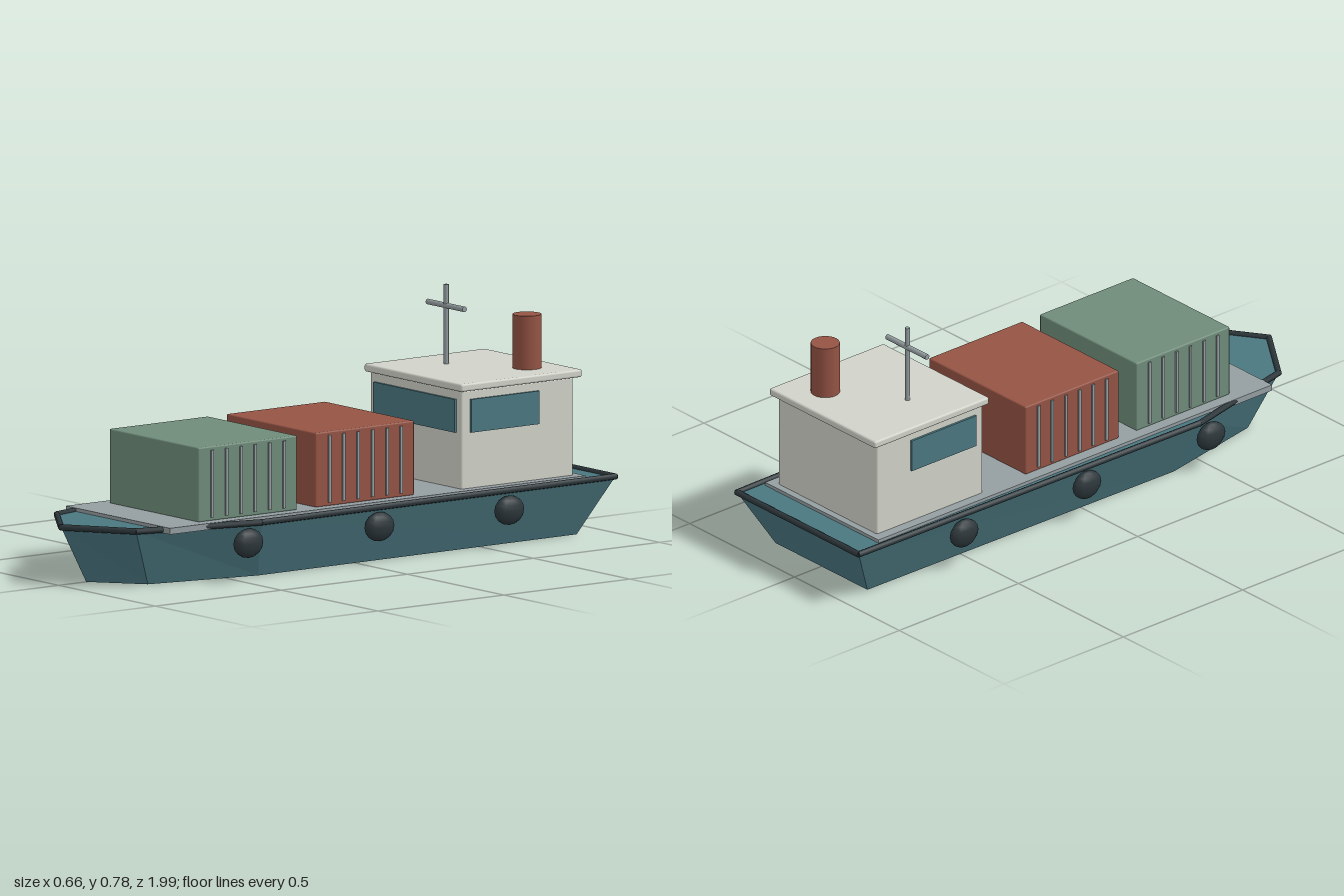
import * as THREE from 'three';
import { RoundedBoxGeometry } from 'three/addons/geometries/RoundedBoxGeometry.js';

const material = (name, color) => {
  const m = new THREE.MeshStandardMaterial({ color });
  m.name = name;
  return m;
};

export function createModel() {
  const model = new THREE.Group();
  model.name = 'cargoShip';
  const teal = material('teal', 0x4a7780);
  const dark = material('darkRubber', 0x2c363a);
  const grey = material('grey', 0x949ea1);
  const white = material('offWhite', 0xd0d2c8);
  const red = material('rustRed', 0x945344);
  const green = material('sageGreen', 0x6f8c7a);

  const add = (name, geometry, mat, x = 0, y = 0, z = 0, parent = model) => {
    const mesh = new THREE.Mesh(geometry, mat);
    mesh.name = name;
    mesh.position.set(x, y, z);
    parent.add(mesh);
    return mesh;
  };
  const box = (w, h, d) => new THREE.BoxGeometry(w, h, d);
  const rounded = (w, h, d, r = 0.007) => new RoundedBoxGeometry(w, h, d, 2, r);

  // Hull: gunwale outline [x, z] extruded upwards, with the keel end drawn in
  const half = [[0.29, -0.985], [0.307, 0.43], [0.205, 0.85]];
  const outline = [...half, [0, 0.99], ...half.map(([x, z]) => [-x, z]).reverse()];
  const hullTop = 0.183;
  const shape = new THREE.Shape(outline.map(([x, z]) => new THREE.Vector2(x, -z)));
  const hull = new THREE.ExtrudeGeometry(shape, { depth: hullTop, bevelEnabled: false });
  hull.rotateX(-Math.PI / 2);
  const p = hull.attributes.position;
  for (let i = 0; i < p.count; i++) {
    if (p.getY(i) < 0.01) p.setXYZ(i, p.getX(i) * 0.755, 0, p.getZ(i) * 0.9);
  }
  hull.computeVertexNormals();
  add('hull', hull, teal);

  // Rubbing rail: one bar along each gunwale edge
  const rail = new THREE.Group();
  rail.name = 'rail';
  model.add(rail);
  outline.forEach(([x, z], i) => {
    const a = new THREE.Vector3(x, 0.184, z);
    const [bx, bz] = outline[(i + 1) % outline.length];
    const b = new THREE.Vector3(bx, 0.184, bz);
    const dir = b.clone().sub(a);
    const bar = add('railBar', new THREE.CylinderGeometry(0.01, 0.01, dir.length() + 0.006, 8), dark, 0, 0, 0, rail);
    bar.position.copy(a).add(b).multiplyScalar(0.5);
    bar.quaternion.setFromUnitVectors(new THREE.Vector3(0, 1, 0), dir.normalize());
  });

  add('deck', box(0.54, 0.02, 1.65), grey, 0, 0.184, -0.06);

  // Fenders hung on both sides
  for (const side of [1, -1]) {
    for (const z of [0.48, -0.04, -0.555]) {
      const fender = add('fender', new THREE.SphereGeometry(1, 10, 8), dark, side * 0.303, 0.122, z);
      fender.scale.set(0.026, 0.047, 0.056);
    }
  }

  // Containers with thin upright ribs on their sides
  const container = (name, mat, z) => {
    const group = new THREE.Group();
    group.name = name;
    group.position.z = z;
    model.add(group);
    add('containerBody', rounded(0.462, 0.238, 0.392, 0.005), mat, 0, 0.312, 0, group);
    for (const side of [1, -1]) {
      for (let i = 0; i < 6; i++) {
        add('rib', box(0.012, 0.215, 0.01), grey, side * 0.23, 0.312, (i - 2.5) * 0.057, group);
      }
    }
  };
  container('frontContainer', green, 0.427);
  container('rearContainer', red, -0.038);

  // Deckhouse with roof and windows
  add('deckhouse', rounded(0.472, 0.32, 0.445), white, 0, 0.348, -0.639);
  add('roof', rounded(0.506, 0.025, 0.48), white, 0, 0.519, -0.644);
  add('frontWindow', box(0.42, 0.106, 0.009), teal, 0, 0.425, -0.413);
  for (const side of [1, -1]) {
    add('sideWindow', box(0.009, 0.106, 0.27), teal, side * 0.239, 0.425, -0.586);
  }

  // Funnel and mast
  add('funnel', new THREE.CylinderGeometry(0.046, 0.046, 0.18, 24), red, 0.12, 0.613, -0.765);
  add('mast', new THREE.CylinderGeometry(0.008, 0.008, 0.26, 12), grey, -0.095, 0.655, -0.61);
  const yard = add('mastYard', new THREE.CylinderGeometry(0.009, 0.009, 0.19, 12), grey, -0.095, 0.717, -0.61);
  yard.rotation.z = Math.PI / 2;

  return model;
}
